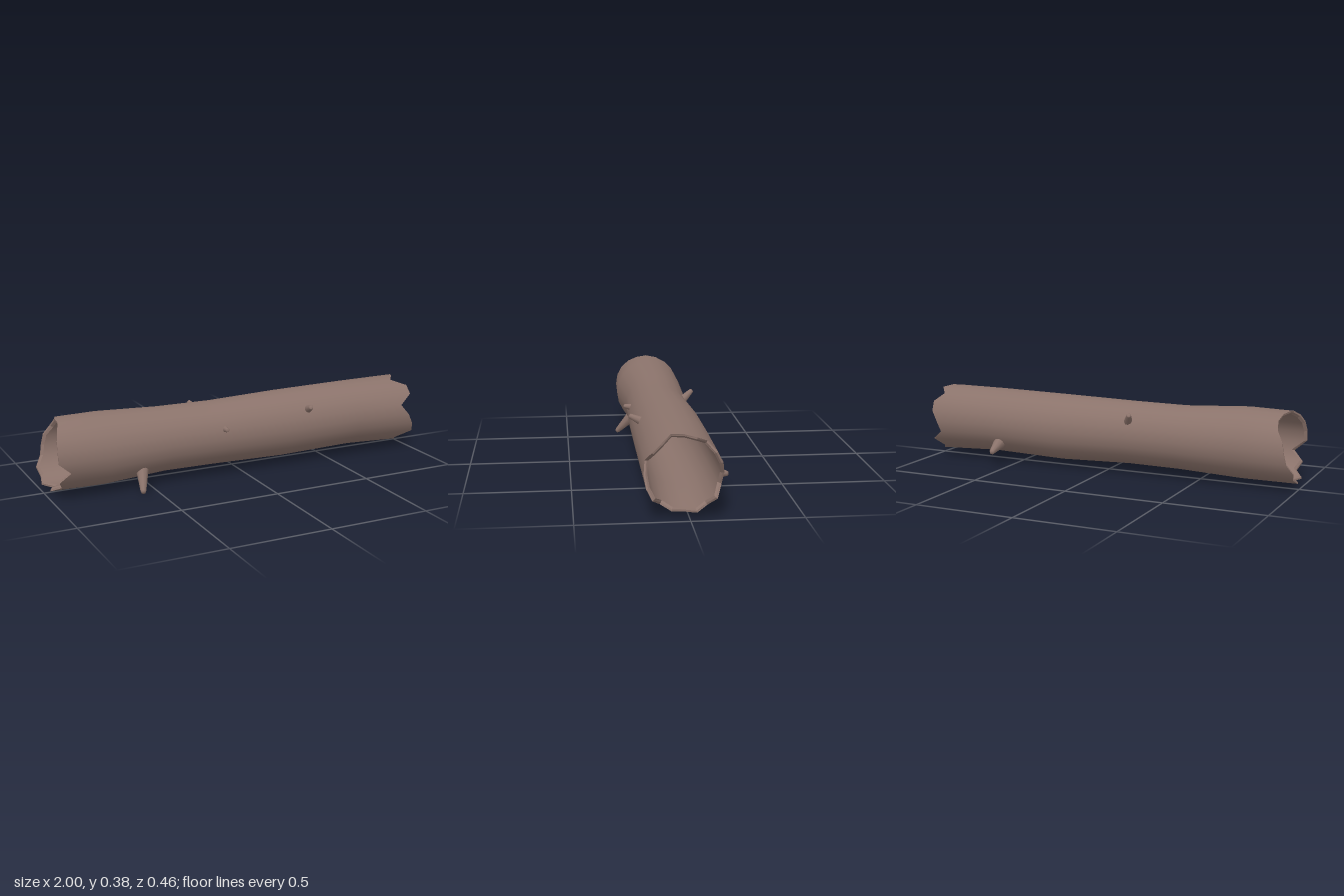
import * as THREE from 'three';

const SIDES = 20;
// cross-sections along the log: x, top, bottom, back, front
const SECTIONS = [
  [-0.97, 0.374, 0.027, -0.150, 0.202],
  [-0.72, 0.378, 0.025, -0.149, 0.211],
  [-0.40, 0.361, 0.040, -0.140, 0.181],
  [-0.12, 0.361, 0.040, -0.130, 0.190],
  [0.25, 0.369, 0.029, -0.150, 0.194],
  [0.65, 0.374, 0.039, -0.150, 0.199],
  [0.97, 0.375, 0.024, -0.150, 0.199],
];
// broken edges: x for each side, starting at the front and going over the top
const RIGHT_EDGE = [0.955, 0.91, 0.98, 0.98, 0.91, 0.95, 0.98, 0.94, 0.985, 0.98,
  0.95, 0.93, 0.99, 0.95, 0.98, 0.93, 0.95, 0.92, 1.0, 0.985];
const LEFT_EDGE = [-0.98, -0.98, -0.975, -0.96, -0.94, -0.94, -0.92, -0.91, -0.92, -0.95,
  -0.96, -0.97, -1.0, -0.99, -1.0, -0.95, -0.99, -0.95, -0.97, -0.92];

// one closed ring of a section, shrunk by scale; edge replaces x with a jagged outline
function ring([x, top, bottom, back, front], scale, edge, inset = 0) {
  return Array.from({ length: SIDES }, (_, k) => {
    const a = (k / SIDES) * Math.PI * 2;
    const ex = edge ? edge[k] - Math.sign(x) * inset : x;
    return [
      ex,
      (top + bottom) / 2 + ((top - bottom) / 2) * scale * Math.sin(a),
      (front + back) / 2 + ((front - back) / 2) * scale * Math.cos(a),
    ];
  });
}

// skin over successive rings
function loft(rings, flat) {
  const index = [];
  for (let i = 0; i < rings.length - 1; i++) {
    for (let k = 0; k < SIDES; k++) {
      const n = (k + 1) % SIDES;
      const a = i * SIDES + k, b = a + SIDES, c = i * SIDES + n, d = c + SIDES;
      index.push(a, b, c, b, d, c);
    }
  }
  let geo = new THREE.BufferGeometry();
  geo.setAttribute('position', new THREE.Float32BufferAttribute(rings.flat(2), 3));
  geo.setIndex(index);
  if (flat) geo = geo.toNonIndexed();
  geo.computeVertexNormals();
  return geo;
}

export function createModel() {
  const group = new THREE.Group();
  const bark = new THREE.MeshStandardMaterial({ color: 0x8b736b });
  bark.name = 'bark brown';

  function add(name, geo) {
    const mesh = new THREE.Mesh(geo, bark);
    mesh.name = name;
    group.add(mesh);
    return mesh;
  }

  const last = SECTIONS.length - 1;
  const edgeAt = (i) => (i === 0 ? LEFT_EDGE : i === last ? RIGHT_EDGE : null);
  const innerRing = (s, i) => ring(s, edgeAt(i) ? 0.9 : 0.86, edgeAt(i), 0.012);

  // hollow trunk
  add('outerBark', loft(SECTIONS.map((s, i) => ring(s, 1, edgeAt(i)))));
  add('hollow', loft(SECTIONS.map(innerRing).reverse()));

  // splintered rims with a slight bevel
  const rim = (i) => [
    ring(SECTIONS[i], 1, edgeAt(i)),
    ring(SECTIONS[i], 0.95, edgeAt(i), 0.001),
    innerRing(SECTIONS[i], i),
  ];
  add('rightRim', loft(rim(last), true));
  add('leftRim', loft(rim(0).reverse(), true));

  // broken branch stubs: base, tip, base radius, tip radius
  const stubs = [
    ['lowerFrontStub', [-0.55, 0.095, 0.145], [-0.578, 0.008, 0.225], 0.031, 0.014],
    ['upperFrontStub', [0.355, 0.295, 0.165], [0.342, 0.317, 0.216], 0.02, 0.012],
    ['knot', [-0.12, 0.252, 0.175], [-0.125, 0.257, 0.212], 0.016, 0.01],
    ['upperBackStub', [-0.15, 0.28, -0.1], [-0.175, 0.322, -0.15], 0.022, 0.012],
    ['lowerBackStub', [0.585, 0.105, -0.115], [0.565, 0.08, -0.228], 0.032, 0.014],
  ];
  for (const [name, from, to, r0, r1] of stubs) {
    const base = new THREE.Vector3(...from);
    const dir = new THREE.Vector3(...to).sub(base);
    const len = dir.length();
    const profile = [
      [r0, 0], [r0 * 0.45 + r1 * 0.55, len * 0.5], [r1, len * 0.92], [r1 * 0.7, len], [0, len],
    ].map(([r, h]) => new THREE.Vector2(r, h));
    const stub = add(name, new THREE.LatheGeometry(profile, 9));
    stub.position.copy(base);
    stub.quaternion.setFromUnitVectors(new THREE.Vector3(0, 1, 0), dir.normalize());
  }
  return group;
}
